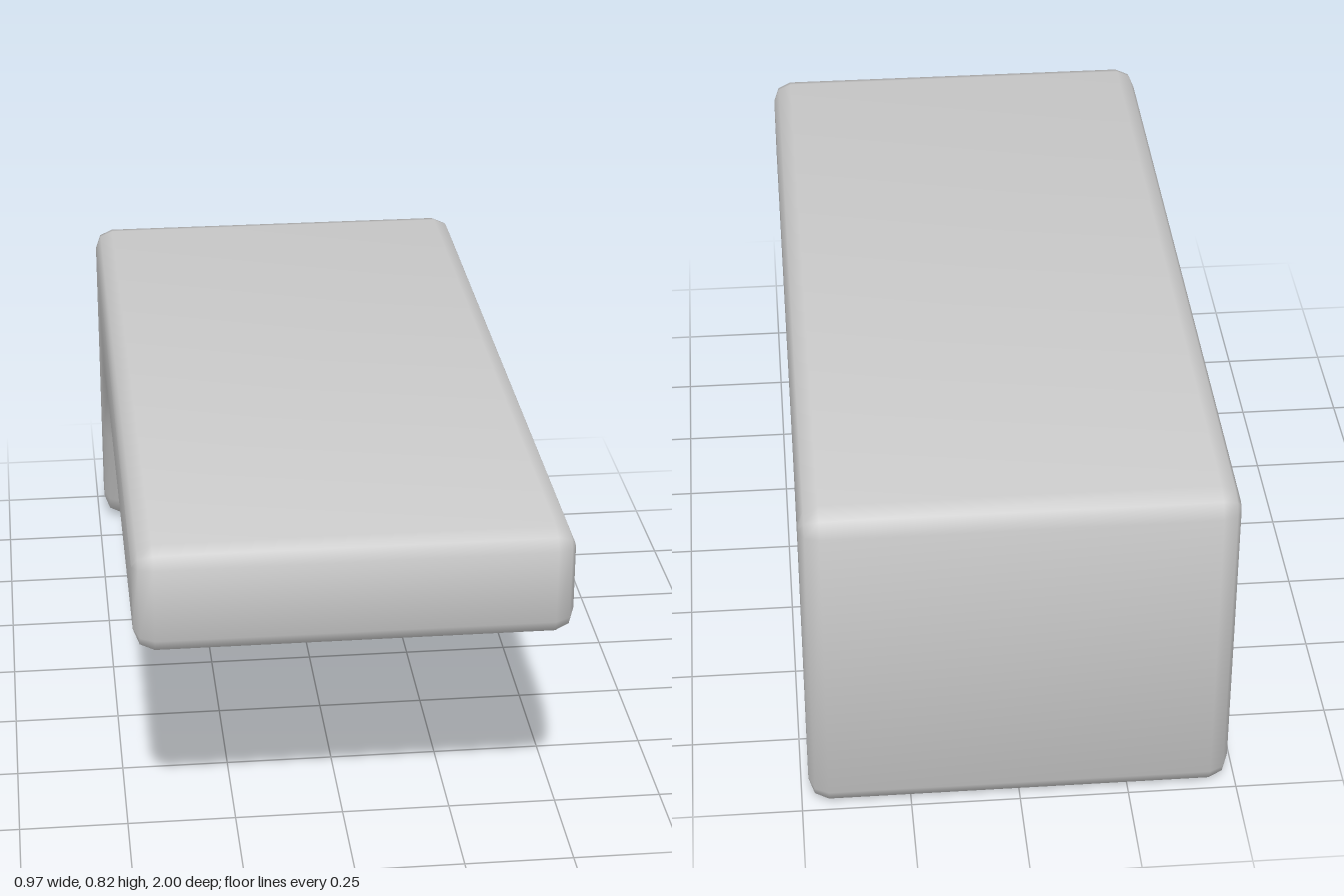
import * as THREE from 'three';
import { toCreasedNormals } from 'three/addons/utils/BufferGeometryUtils.js';

export function createModel() {
  const group = new THREE.Group();
  group.name = 'cantileverBlock';

  // Side profile as (z, y): slab on top, curved underside, tapering back leg
  const profile = [
    [0.95, 0.82], [0.985, 0.808], [1, 0.78],
    [1, 0.61], [0.985, 0.582], [0.95, 0.57],
    [-0.4, 0.57], [-0.54, 0.54], [-0.655, 0.475], [-0.77, 0.28],
    [-0.835, 0.06], [-0.86, 0.015], [-0.92, 0], [-0.98, 0.015], [-1, 0.05],
    [-1, 0.77], [-0.985, 0.808], [-0.94, 0.82],
  ].map(([z, y]) => new THREE.Vector2(z, y));

  // Extrude across the width with rounded side edges
  const width = 0.966, bevel = 0.045;
  const depth = width - 2 * bevel;
  const geometry = new THREE.ExtrudeGeometry(new THREE.Shape(profile), {
    depth,
    steps: 1,
    bevelEnabled: true,
    bevelThickness: bevel,
    bevelSize: bevel,
    bevelOffset: -bevel,
    bevelSegments: 2,
  });
  geometry.translate(0, 0, -depth / 2);
  geometry.rotateY(-Math.PI / 2);

  const body = new THREE.Mesh(
    toCreasedNormals(geometry, 1.0),
    new THREE.MeshStandardMaterial({ color: 0xcccccc })
  );
  body.name = 'slabWithBackLeg';
  group.add(body);
  return group;
}
